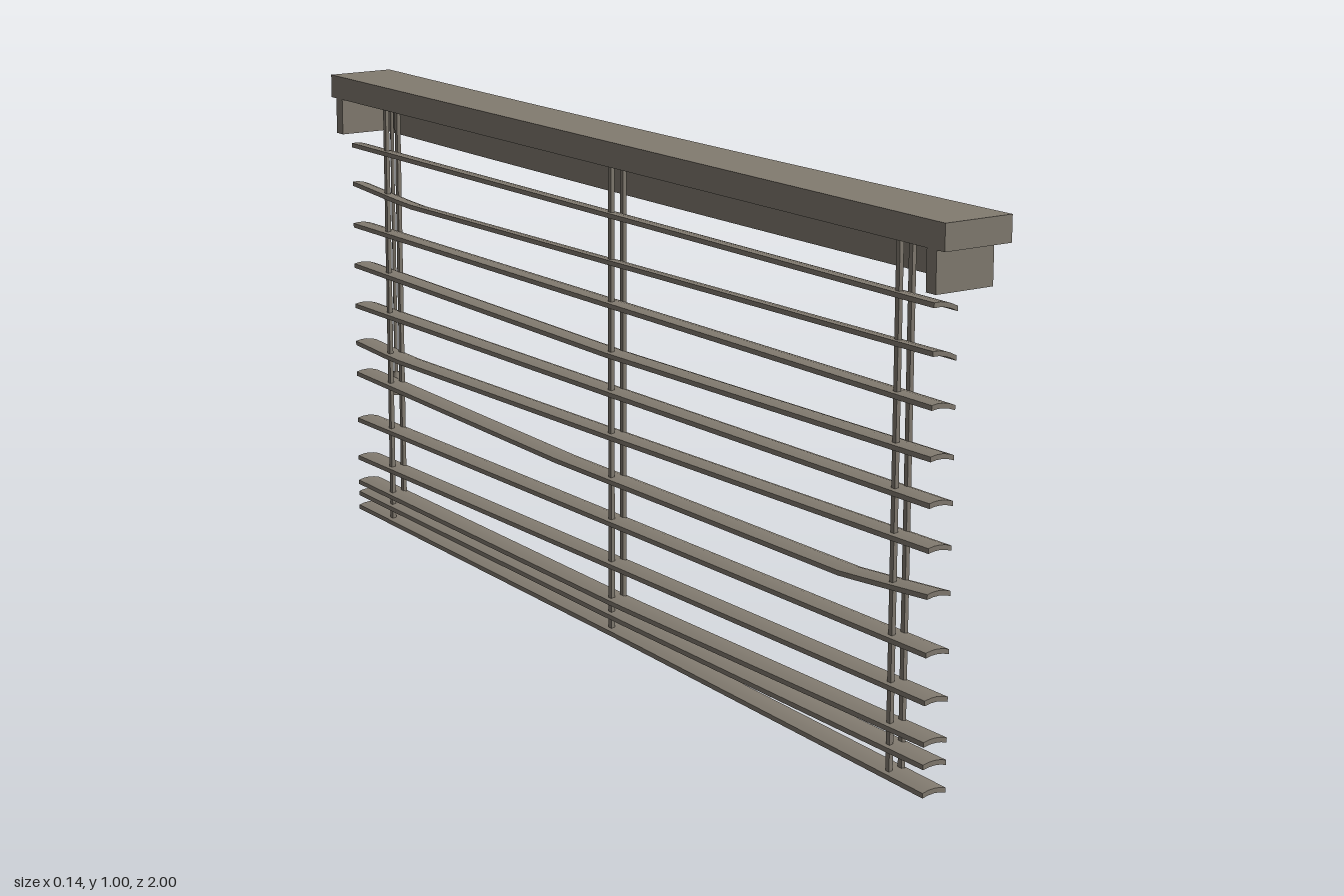
import * as THREE from 'three';

const taupe = new THREE.MeshStandardMaterial({ color: 0x827b70 });
taupe.name = 'taupe';

function add(group, name, geometry, x = 0, y = 0, z = 0) {
  const mesh = new THREE.Mesh(geometry, taupe);
  mesh.name = name;
  mesh.position.set(x, y, z);
  group.add(mesh);
  return mesh;
}

// Box given by its lower and upper corners
function block(group, name, [x0, y0, z0], [x1, y1, z1], segments = 1) {
  const g = new THREE.BoxGeometry(x1 - x0, y1 - y0, z1 - z0, 1, 1, segments);
  return add(group, name, g, (x0 + x1) / 2, (y0 + y1) / 2, (z0 + z1) / 2);
}

// Move each vertex of a geometry by a rule
function warp(geometry, rule) {
  const p = geometry.attributes.position;
  const v = new THREE.Vector3();
  for (let i = 0; i < p.count; i++) {
    v.fromBufferAttribute(p, i);
    rule(v);
    p.setXYZ(i, v.x, v.y, v.z);
  }
  geometry.computeVertexNormals();
}

// Height along a list of [z, y] points, z falling
function heightAt(points, z) {
  for (let i = 1; i < points.length; i++) {
    const [za, ya] = points[i - 1], [zb, yb] = points[i];
    if (z >= zb || i === points.length - 1) return ya + (yb - ya) * (za - z) / (za - zb);
  }
  return points[0][1];
}

// Bent slats: [tilt across the width, heights along the length]
const A = 0.935, B = -0.98;
const slats = [
  [-0.011, [[A, 0.847], [B, 0.847]]],
  [-0.013, [[A, 0.765], [0, 0.757], [-0.76, 0.75], [B, 0.764]]],
  [-0.006, [[A, 0.678], [B, 0.678]]],
  [-0.004, [[A, 0.592], [-0.02, 0.582], [B, 0.592]]],
  [-0.003, [[A, 0.513], [-0.02, 0.508], [B, 0.505]]],
  [-0.003, [[A, 0.436], [0, 0.424], [-0.82, 0.416], [B, 0.424]]],
  [-0.002, [[A, 0.357], [0.7, 0.338], [-0.2, 0.338], [B, 0.357]]],
  [-0.002, [[A, 0.255], [B, 0.255]]],
  [-0.002, [[A, 0.171], [B, 0.171]]],
  [-0.001, [[A, 0.098], [0, 0.098], [B, 0.117]]],
  [-0.001, [[A, 0.058], [0, 0.07], [B, 0.092]]],
  [0, [[A, 0.008], [0, 0.038], [B, 0.062]]],
];

export function createModel() {
  const model = new THREE.Group();
  model.name = 'windowBlind';

  // Head rail: top board with a slightly bowed front edge
  const board = block(model, 'topBoard', [-0.07, 0.953, -1], [0.07, 1, 1], 16);
  warp(board.geometry, v => { if (v.x > 0) v.x -= 0.011 * (1 - v.z * v.z); });

  // Valance: front panel and two end returns, open behind and below
  const panel = block(model, 'valanceFront', [0.03, 0.88, -0.98], [0.05, 0.953, 0.98], 16);
  warp(panel.geometry, v => { v.x -= 0.009 * (1 - (v.z / 0.98) ** 2); });
  for (const s of [-1, 1]) {
    const z = [0.955 * s, 0.98 * s].sort((a, b) => a - b);
    block(model, 'valanceReturn', [-0.07, 0.88, z[0]], [0.05, 0.953, z[1]]);
  }

  // Slats with a crowned cross-section
  const slatGroup = new THREE.Group();
  slatGroup.name = 'slats';
  model.add(slatGroup);
  for (const [tilt, heights] of slats) {
    const g = new THREE.BoxGeometry(0.05, 0.009, A - B, 4, 1, 32);
    warp(g, v => {
      const u = v.x / 0.025;
      v.z += (A + B) / 2;
      v.y += heightAt(heights, v.z) + tilt * u / 2 + 0.002 * (1 - 2 * u * u);
    });
    add(slatGroup, 'slat', g, -0.01);
  }

  // Ladder cords in pairs
  for (const [z, bottom] of [[0.83, 0.014], [-0.02, 0.04], [-0.855, 0.06]]) {
    for (const x of [-0.023, 0.004]) {
      block(model, 'ladderCord', [x - 0.004, bottom, z - 0.005], [x + 0.004, 0.954, z + 0.005]);
    }
  }

  // Pull cord with its tassel
  add(model, 'pullCord', new THREE.CylinderGeometry(0.004, 0.004, 0.6, 8), 0.022, 0.654, -0.91);
  add(model, 'tassel', new THREE.CylinderGeometry(0.006, 0.017, 0.048, 12), 0.022, 0.343, -0.91);

  return model;
}
